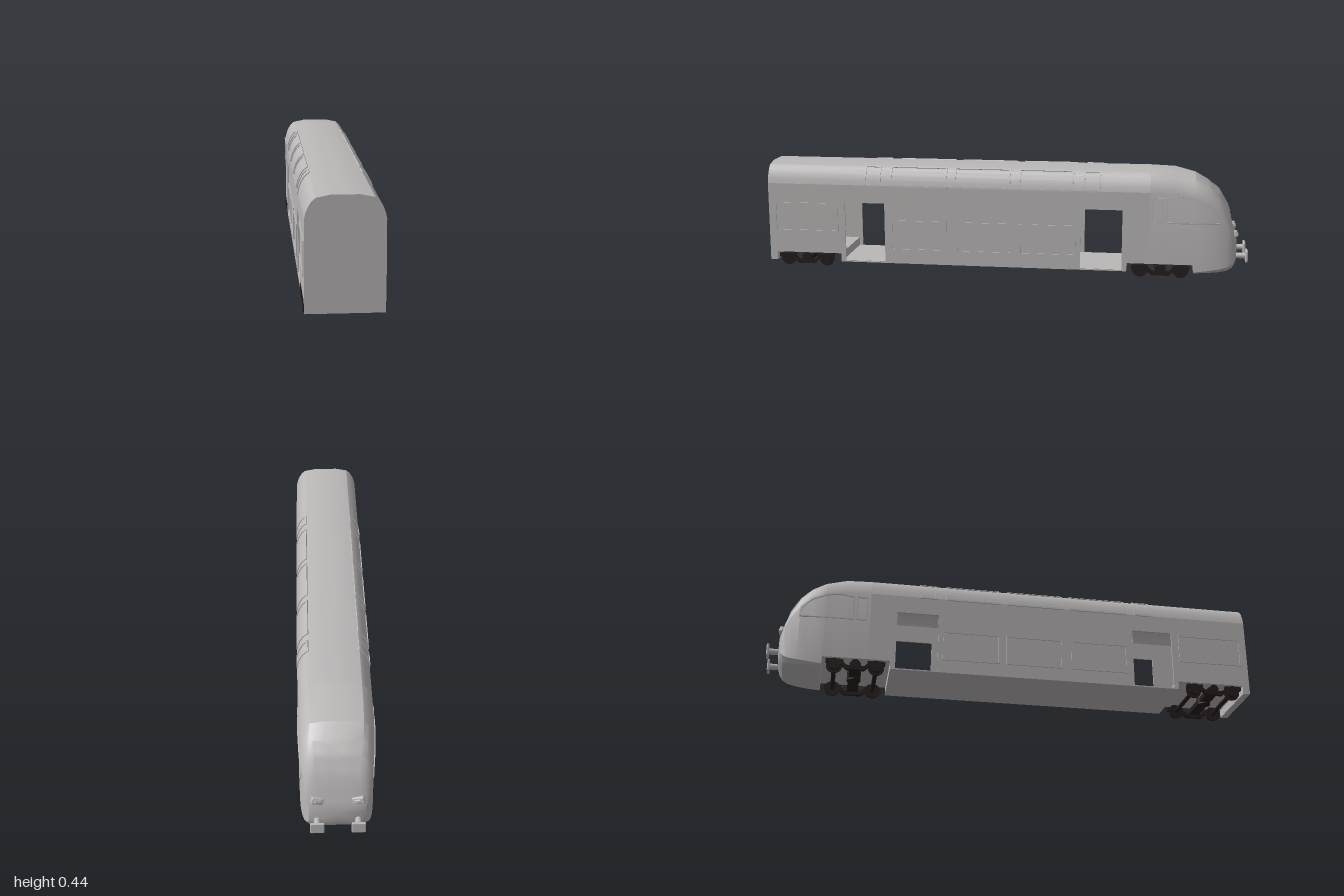
import * as THREE from 'three';
import { toCreasedNormals } from 'three/addons/utils/BufferGeometryUtils.js';
import { RoundedBoxGeometry } from 'three/addons/geometries/RoundedBoxGeometry.js';

const bodyMat = new THREE.MeshStandardMaterial({ color: 0xbab7b7, side: THREE.DoubleSide });
bodyMat.name = 'body grey';
const bogieMat = new THREE.MeshStandardMaterial({ color: 0x261c1c });
bogieMat.name = 'bogie black';

// half cross-section of the car from wall foot to roof centre, [x, y]
const WALL = 0.14, FOOT = 0.025, ROOF = 0.44;
const PROFILE = [[0.14, 0.025], [0.14, 0.355], [0.1355, 0.376], [0.128, 0.396], [0.116, 0.416], [0.1, 0.43], [0.05, 0.44], [0, 0.44]];

// nose stations: z, roof height, bottom, half width, bottom chamfer
const NOSE = [
  [-0.6, 0.44, 0.06, 0.14, 0], [-0.7, 0.436, 0.06, 0.14, 0], [-0.78, 0.415, 0.06, 0.138, 0],
  [-0.781, 0.415, 0.025, 0.138, 0.004], [-0.835, 0.385, 0.026, 0.135, 0.01], [-0.88, 0.34, 0.028, 0.13, 0.015],
  [-0.915, 0.28, 0.033, 0.122, 0.018], [-0.935, 0.225, 0.042, 0.115, 0.02], [-0.948, 0.175, 0.06, 0.104, 0.02],
];

const lerp = THREE.MathUtils.lerp;
const sample = (rows, key, out, v) => {
  for (let i = 0; i < rows.length - 1; i++) {
    const a = rows[i], b = rows[i + 1];
    if (a[key] !== b[key] && (v - a[key]) * (v - b[key]) <= 0) return lerp(a[out], b[out], (v - a[key]) / (b[key] - a[key]));
  }
  return rows[v < 0 || v > 0.4 ? rows.length - 1 : 0][out];
};
const heightScale = z => z > -0.6 ? 1 : (sample(NOSE, 0, 1, z) - FOOT) / (ROOF - FOOT);
const halfWidth = z => z > -0.6 ? WALL : sample(NOSE, 0, 3, z);
const sideX = (y, z) => sample(PROFILE, 1, 0, FOOT + (y - FOOT) / heightScale(z)) * halfWidth(z) / WALL;
const roofY = (x, z) => FOOT + (sample(PROFILE, 0, 1, Math.abs(x) * WALL / halfWidth(z)) - FOOT) * heightScale(z);

function add(parent, name, geo, mat = bodyMat, x = 0, y = 0, z = 0) {
  const mesh = new THREE.Mesh(geo, mat);
  mesh.name = name;
  mesh.position.set(x, y, z);
  parent.add(mesh);
  return mesh;
}

// surface through rows of points
function loft(rows, crease = 0.5) {
  const pos = [], idx = [], n = rows[0].length;
  rows.forEach(r => r.forEach(p => pos.push(...p)));
  for (let i = 0; i < rows.length - 1; i++) for (let j = 0; j < n - 1; j++) {
    const a = i * n + j, b = a + n;
    idx.push(a, a + 1, b, a + 1, b + 1, b);
  }
  const g = new THREE.BufferGeometry();
  g.setAttribute('position', new THREE.Float32BufferAttribute(pos, 3));
  g.setIndex(idx);
  return toCreasedNormals(g, crease);
}

// slab drawn in (z, y) and extruded outward along x
const zyShape = pts => new THREE.Shape(pts.map(([z, y]) => new THREE.Vector2(-z, y)));
function sideSlab(shape, depth) {
  return new THREE.ExtrudeGeometry(shape, { depth, bevelEnabled: false }).rotateY(Math.PI / 2);
}
const rect = (z0, z1, y0, y1) => [[z0, y0], [z1, y0], [z1, y1], [z0, y1]];

// raised border around an outline, with its outer face following the wall
function windowFrame(parent, pts, inner, name) {
  const shape = zyShape(pts);
  shape.holes.push(zyShape(inner));
  const g = sideSlab(shape, 0.01);
  const p = g.attributes.position;
  for (let i = 0; i < p.count; i++) p.setX(i, sideX(p.getY(i), p.getZ(i)) + (p.getX(i) > 0.005 ? 0.004 : -0.003));
  g.computeVertexNormals();
  add(parent, name, g);
}

function buildSide() {
  const side = new THREE.Group();
  side.name = 'side';
  // wall with bogie cut-outs and two open doorways
  const wall = zyShape([[1, 0.025], [1, 0.355], [-0.6, 0.355], [-0.6, 0.06], [-0.51, 0.06], [-0.51, 0.025], [0.69, 0.025], [0.69, 0.06], [0.97, 0.06], [0.97, 0.025]]);
  for (const [a, b] of [[0.5, 0.67], [-0.49, -0.32]]) wall.holes.push(zyShape(rect(a, b, 0.03, 0.28)));
  add(side, 'sideWall', sideSlab(wall, 0.006), bodyMat, WALL - 0.006);

  // lower deck and end windows
  for (const [a, b, y0, y1] of [[0.7, 0.975, 0.15, 0.275], [0.235, 0.475, 0.08, 0.21], [-0.04, 0.2, 0.08, 0.21], [-0.3, -0.065, 0.08, 0.21]])
    windowFrame(side, rect(a, b, y0, y1), rect(a + 0.008, b - 0.008, y0 + 0.008, y1 - 0.008), 'sideWindowFrame');

  // arched cab window with a narrow pane behind it
  const arch = m => {
    const pts = [[-0.665 - m, 0.23 + m], [-0.665 - m, 0.335 - m]];
    for (let i = 0; i <= 8; i++) {
      const t = i / 8 * Math.PI / 2;
      pts.push([-0.72 - (0.165 - m) * Math.sin(t), 0.23 + m + (0.113 - 2 * m) * Math.cos(t)]);
    }
    return pts;
  };
  windowFrame(side, arch(0), arch(0.005), 'cabWindowFrame');
  windowFrame(side, rect(-0.655, -0.61, 0.23, 0.335), rect(-0.65, -0.615, 0.235, 0.33), 'cabSmallWindowFrame');

  // upper deck windows wrapped over the roof shoulder: rails and posts
  const arc = PROFILE.slice(1, 6);
  const strip = (z0, z1, from, to) => {
    const pts = arc.slice(from, to + 1);
    const at = ([x, y], o, z) => [x + o * 0.8, y + o * 0.6, z];
    const row = z => [...pts.map(p => at(p, 0.004, z)), at(pts[pts.length - 1], -0.001, z)];
    const foot = z => [at(pts[0], -0.001, z), ...row(z)];
    const base = z => foot(z).map(() => at(pts[0], -0.001, z));
    const edge = z => [...pts, pts[pts.length - 1]].map(p => at(p, -0.001, z));
    add(side, 'upperWindowFrame', loft([foot(z0), foot(z1)], 0.6));
    for (const z of [z0, z1]) add(side, 'upperWindowFrameEdge', loft([row(z), edge(z)]));
    return base;
  };
  for (const [a, b] of [[0.515, 0.585], [0.235, 0.475], [-0.03, 0.205], [-0.29, -0.065], [-0.4, -0.33]]) {
    strip(a, a + 0.008, 0, 4);
    strip(b - 0.008, b, 0, 4);
    for (const i of [0, 4]) {
      const [x, y] = arc[i];
      const rail = add(side, 'upperWindowRail', new THREE.BoxGeometry(0.005, 0.008, b - a), bodyMat, x + 0.001, y, (a + b) / 2);
      rail.rotation.z = i ? 0.9 : 0.1;
    }
  }

  // headlight, buffer stem and buffer plate on the nose
  const lamp = add(side, 'headlight', new RoundedBoxGeometry(0.046, 0.028, 0.02, 2, 0.006), bodyMat, 0.075, 0.182, -0.945);
  lamp.rotation.set(0.25, 0.2, 0.2);
  const lens = add(side, 'headlightLens', new RoundedBoxGeometry(0.026, 0.014, 0.012, 2, 0.004), bodyMat, 0.073, 0.183, -0.952);
  lens.rotation.copy(lamp.rotation);
  add(side, 'bufferStem', new THREE.CylinderGeometry(0.011, 0.013, 0.055, 16).rotateX(Math.PI / 2), bodyMat, 0.075, 0.092, -0.968);
  add(side, 'bufferPlate', new RoundedBoxGeometry(0.052, 0.048, 0.01, 2, 0.004), bodyMat, 0.075, 0.092, -0.995);
  return side;
}

function buildBogie() {
  const bogie = new THREE.Group();
  bogie.name = 'bogie';
  const disc = (r, w) => new THREE.CylinderGeometry(r, r, w, 20).rotateZ(Math.PI / 2);
  for (const z of [-0.083, 0.083]) {
    add(bogie, 'axle', disc(0.009, 0.25), bogieMat, 0, 0.033, z);
    for (const s of [-1, 1]) {
      add(bogie, 'wheel', disc(0.032, 0.008), bogieMat, s * 0.119, 0.032, z);
      add(bogie, 'axleBox', disc(0.024, 0.014), bogieMat, s * 0.134, 0.032, z);
      add(bogie, 'axleArm', new THREE.BoxGeometry(0.014, 0.016, 0.07), bogieMat, s * 0.134, 0.045, z);
    }
  }
  // dipped side frame with a spring block at its middle
  const frame = zyShape([[-0.11, 0.04], [-0.11, 0.054], [-0.06, 0.054], [-0.035, 0.03], [0.035, 0.03], [0.06, 0.054], [0.11, 0.054], [0.11, 0.04], [0.06, 0.034], [0.035, 0.012], [-0.035, 0.012], [-0.06, 0.034]]);
  for (const s of [-1, 1]) {
    add(bogie, 'sideFrame', sideSlab(frame, 0.014), bogieMat, s * 0.132 - 0.007);
    add(bogie, 'spring', disc(0.014, 0.012), bogieMat, s * 0.134, 0.036, 0).scale.set(1, 1.5, 1.4);
  }
  add(bogie, 'bolster', new THREE.BoxGeometry(0.26, 0.02, 0.045), bogieMat, 0, 0.036, 0);
  add(bogie, 'pivot', new THREE.CylinderGeometry(0.028, 0.028, 0.04, 16), bogieMat, 0, 0.04, 0);
  return bogie;
}

export function createModel() {
  const model = new THREE.Group();
  model.name = 'railcar';
  const left = buildSide(), right = buildSide();
  left.name = 'leftSide';
  right.name = 'rightSide';
  right.scale.x = -1;
  model.add(left, right);

  // roof and flat rear end
  const mirror = pts => [...pts, ...pts.slice(0, -1).reverse().map(([x, y]) => [-x, y])];
  const roof = mirror(PROFILE.slice(1));
  add(model, 'roof', loft([1, -0.6].map(z => roof.map(([x, y]) => [x, y, z]))));
  const endShape = new THREE.Shape(mirror(PROFILE).map(p => new THREE.Vector2(...p)));
  add(model, 'endWall', new THREE.ExtrudeGeometry(endShape, { depth: 0.01, bevelEnabled: false }), bodyMat, 0, 0, 0.99);

  // floors, raised over the bogies
  const box = (name, y0, y1, z0, z1) => add(model, name, new THREE.BoxGeometry(0.27, y1 - y0, z1 - z0), bodyMat, 0, (y0 + y1) / 2, (z0 + z1) / 2);
  box('floor', 0.025, 0.031, -0.51, 0.69);
  box('rearBayFloor', 0.06, 0.066, 0.69, 0.99);
  box('frontBayFloor', 0.06, 0.066, -0.78, -0.51);
  box('rearBayStep', 0.025, 0.066, 0.684, 0.69);
  box('frontBayStep', 0.025, 0.066, -0.51, -0.504);
  box('endSkirt', 0.025, 0.066, 0.97, 0.99);

  // rounded nose, closed at the tip
  const section = ([z, t, b, w, c]) => {
    const k = (t - FOOT) / (ROOF - FOOT);
    const half = [[0, b], [w - c, b], [w, b + c], ...PROFILE.slice(1).map(([x, y]) => [x * w / WALL, FOOT + (y - FOOT) * k])];
    return mirror(half).map(([x, y]) => [x, y, z]);
  };
  const rows = NOSE.map(section);
  rows.push(rows[rows.length - 1].map(([x, y]) => [x * 0.85, 0.115 + (y - 0.115) * 0.75, -0.953]));
  rows.push(rows[rows.length - 1].map(() => [0, 0.115, -0.955]));
  add(model, 'nose', loft(rows, 0.45));

  // windscreen panels with a notched top edge
  const screen = (name, w, zTop, zLow, lift) => {
    const grid = [];
    for (let i = 0; i <= 10; i++) grid.push([-1, -0.6, -0.3, 0, 0.3, 0.6, 1].map(u => {
      const z = lerp(zTop - 0.018 * (1 - Math.abs(u)), zLow - 0.006 * (1 - Math.abs(u)), i / 10);
      const x = u * lerp(w, w * 0.93, i / 10);
      return [x, roofY(x, z) + lift, z - lift];
    }));
    add(model, name, loft(grid));
  };
  screen('windscreenFrame', 0.088, -0.838, -0.924, 0.002);
  screen('windscreen', 0.08, -0.846, -0.918, 0.0045);

  for (const z of [0.843, -0.647]) {
    const bogie = buildBogie();
    bogie.position.z = z;
    model.add(bogie);
  }
  return model;
}
